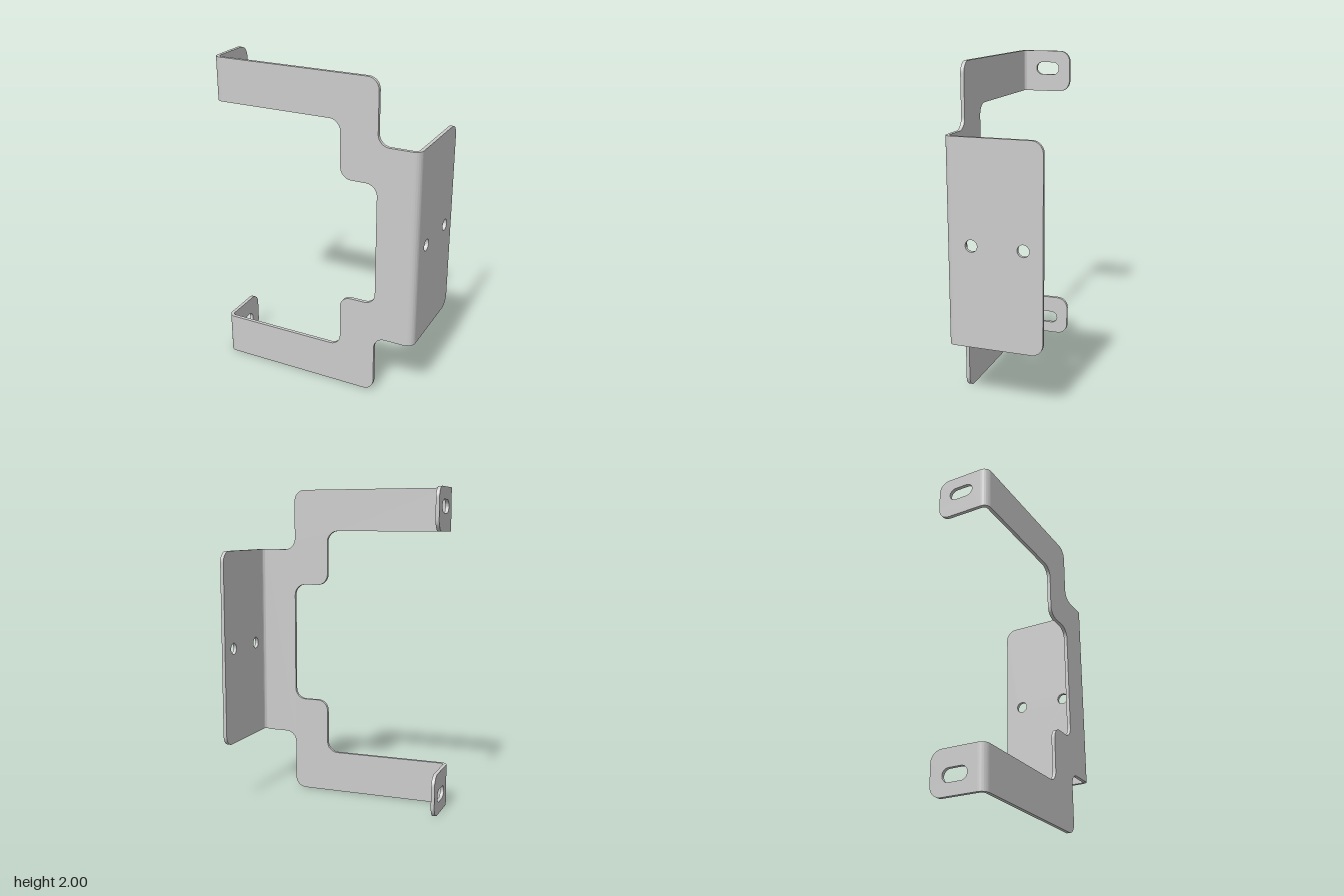
import * as THREE from 'three';
import { toCreasedNormals } from 'three/addons/utils/BufferGeometryUtils.js';

const T = 0.022;          // sheet thickness
const R = 0.045;          // outer bend radius
const X = 0.652;          // half width
const Z = 0.29;           // front face
const C = 0.07;           // corner radius
const K = 0.4477;         // control offset for a circular quarter bend

const material = new THREE.MeshStandardMaterial({ color: 0xcccccc });

// Closed outline from [x, y, cornerRadius] points
function roundedShape(points) {
  const shape = new THREE.Shape();
  const n = points.length;
  points.forEach(([x, y, r = 0], i) => {
    const toward = ([px, py], d) => {
      const l = Math.hypot(px - x, py - y);
      return [x + (px - x) / l * d, y + (py - y) / l * d];
    };
    const prev = points[(i + n - 1) % n], next = points[(i + 1) % n];
    const a = toward(prev, r);
    if (i === 0) shape.moveTo(...a); else shape.lineTo(...a);
    if (r) shape.bezierCurveTo(...toward(prev, r * K), ...toward(next, r * K), ...toward(next, r));
  });
  shape.closePath();
  return shape;
}

function sheet(name, shape, depth = T) {
  const geo = new THREE.ExtrudeGeometry(shape, { depth, bevelEnabled: false, curveSegments: 12 });
  const mesh = new THREE.Mesh(toCreasedNormals(geo, 0.5), material);
  mesh.name = name;
  return mesh;
}

// Flat side flange: shape x runs along z, outer or inner face placed by side
function flange(name, side, shape) {
  const mesh = sheet(name, shape);
  mesh.geometry.rotateY(-Math.PI / 2);
  mesh.position.x = side > 0 ? X : -X + T;
  return mesh;
}

// Quarter-round bend between the front plate and a flange
function bend(name, side, y0, y1) {
  const start = side > 0 ? -Math.PI / 2 : -Math.PI;
  const shape = new THREE.Shape();
  shape.absarc(0, 0, R, start, start + Math.PI / 2, false);
  shape.absarc(0, 0, R - T, start + Math.PI / 2, start, true);
  shape.closePath();
  const mesh = sheet(name, shape, y1 - y0);
  mesh.geometry.rotateX(-Math.PI / 2);
  mesh.position.set(side * (X - R), y0, Z - R);
  return mesh;
}

export function createModel() {
  const group = new THREE.Group();
  group.name = 'mountingBracket';

  // Front plate: stepped C outline, mirrored about y = 1
  const e = X - R;
  const upper = [
    [e, 1.615], [0.4, 1.615, C], [0.4, 2, C], [-e, 2], [-e, 1.735],
    [0.17, 1.735, C], [0.17, 1.385, C], [0.4, 1.385, C],
  ];
  const lower = upper.map(([x, y, r]) => [x, 2 - y, r]).reverse();
  const plate = sheet('frontPlate', roundedShape([...upper, ...lower]));
  plate.position.z = Z - T;
  group.add(plate);

  // Large side flange with two round holes
  const zb = Z - R;
  const side = roundedShape([[zb, 0.39], [zb, 1.615], [-0.29, 1.615, C], [-0.29, 0.39, C]]);
  for (const z of [0.135, -0.175]) {
    side.holes.push(new THREE.Path().absarc(z, 1, 0.036, 0, Math.PI * 2, true));
  }
  group.add(flange('sideFlange', 1, side), bend('sideBend', 1, 0.39, 1.615));

  // Two slotted tabs
  for (const [name, y0] of [['upper', 1.735], ['lower', 0]]) {
    const y1 = y0 + 0.265;
    const tab = roundedShape([[zb, y0], [zb, y1], [-0.045, y1, C], [-0.045, y0, C]]);
    const yc = y0 ? 1.885 : 0.115, r = 0.04;
    const slot = new THREE.Path();
    slot.absarc(0.145, yc, r, -Math.PI / 2, Math.PI / 2, false);
    slot.absarc(0.07, yc, r, Math.PI / 2, Math.PI * 1.5, false);
    slot.closePath();
    tab.holes.push(slot);
    group.add(flange(name + 'Tab', -1, tab), bend(name + 'TabBend', -1, y0, y1));
  }
  return group;
}
